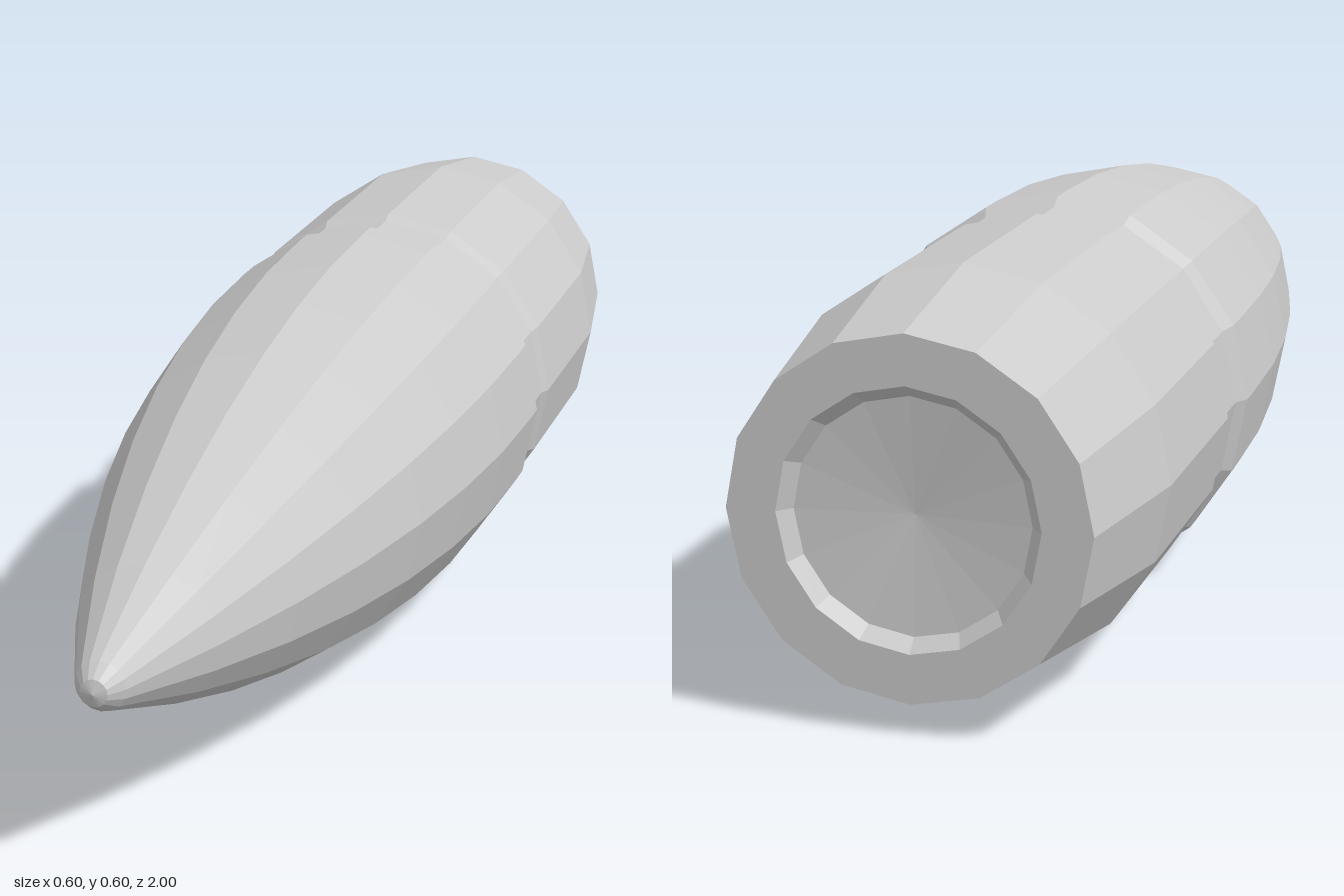
import * as THREE from 'three';

const SIDES = 16;
const RADIUS = 0.298;

export function createModel() {
  const model = new THREE.Group();
  const material = new THREE.MeshStandardMaterial({ color: 0xcccccc, flatShading: true });

  // Turns a [radius, z] profile, listed from back to front, around the long axis
  function addTurned(name, profile) {
    const points = profile.map(([r, z]) => new THREE.Vector2(r, z));
    const geometry = new THREE.LatheGeometry(points, SIDES);
    geometry.rotateX(Math.PI / 2);
    const mesh = new THREE.Mesh(geometry, material);
    mesh.name = name;
    mesh.position.y = RADIUS;
    model.add(mesh);
  }

  // Shallow dished recess in the base
  addTurned('baseRecess', [[0, -0.965], [0.165, -0.98], [0.183, -1]]);

  // Flat base rim, tapered tail and straight body
  addTurned('tailBody', [[0.183, -1], [0.253, -1], [0.293, -0.75], [0.293, -0.4]]);

  // Groove around the body
  addTurned('groove', [[0.293, -0.4], [0.285, -0.38], [0.285, -0.31], [RADIUS, -0.29]]);

  // Curved nose, flattening out towards the groove
  const nose = [[RADIUS, -0.29]];
  const start = -0.24, end = 0.97, steps = 7;
  for (let i = 0; i <= steps; i++) {
    const t = i / steps;
    nose.push([RADIUS - (RADIUS - 0.037) * t * t, start + (end - start) * t]);
  }
  addTurned('nose', nose);

  // Small rounded tip
  addTurned('tip', [[0.037, 0.97], [0.02, 0.994], [0, 1]]);

  return model;
}
